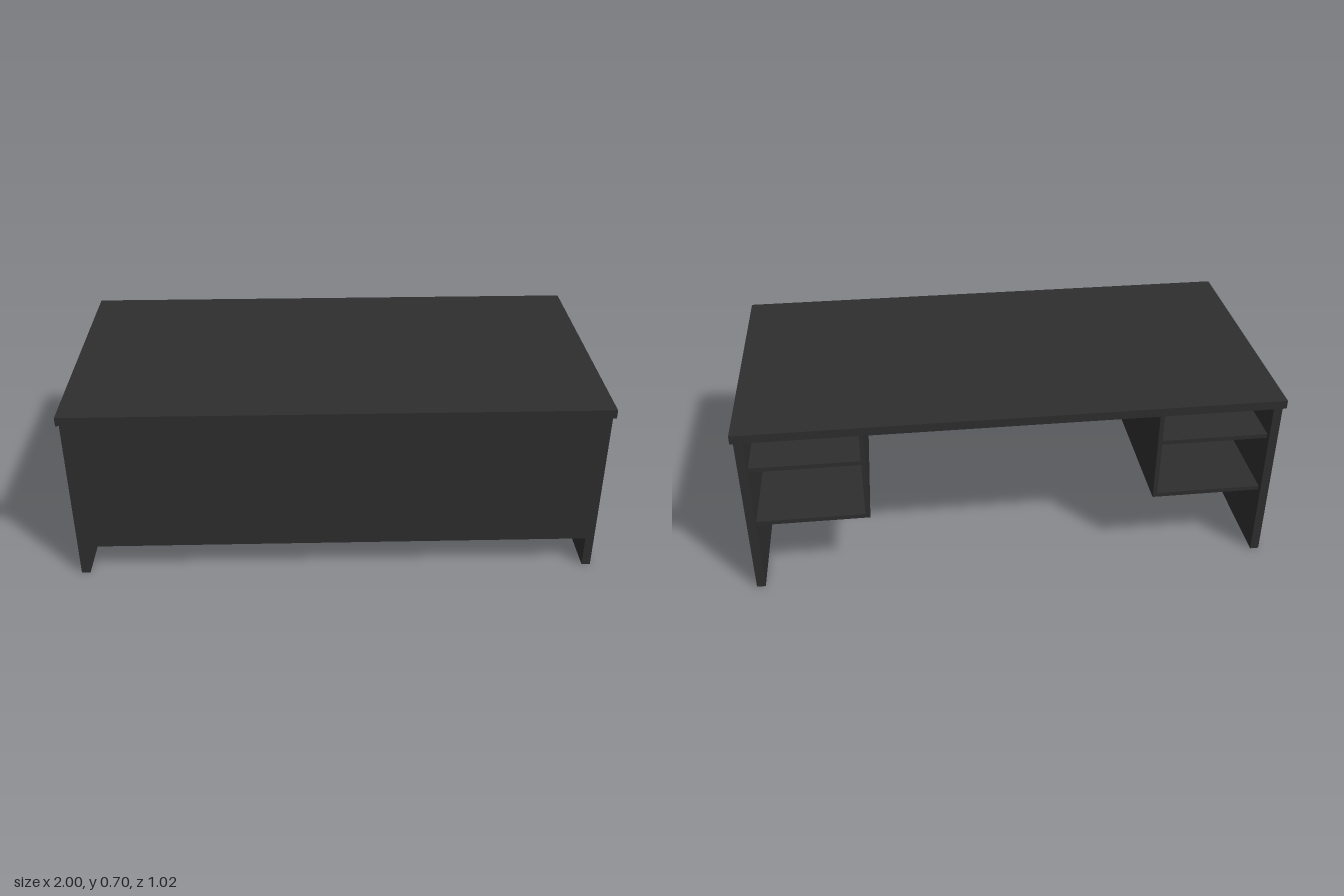
import * as THREE from 'three';

export function createModel() {
  const desk = new THREE.Group();
  desk.name = 'desk';
  const charcoal = new THREE.MeshStandardMaterial({ color: 0x2e2e2e });
  charcoal.name = 'charcoal';

  // Board given by its minimum and maximum corners
  function board(name, parent, [x0, y0, z0], [x1, y1, z1]) {
    const geometry = new THREE.BoxGeometry(x1 - x0, y1 - y0, z1 - z0);
    const mesh = new THREE.Mesh(geometry, charcoal);
    mesh.position.set((x0 + x1) / 2, (y0 + y1) / 2, (z0 + z1) / 2);
    mesh.name = name;
    parent.add(mesh);
  }

  const under = 0.667;   // underside of the desktop
  const inner = 0.957;   // inner face of the side panels
  const front = 0.464;   // inner face of the front panel
  const back = -0.477;   // open end of the shelf units
  const thin = 0.017;    // shelf board thickness

  board('desktop', desk, [-1, under, -0.508], [1, 0.7, 0.508]);
  board('frontPanel', desk, [-inner, 0.125, front], [inner, under, 0.497]);

  // Side panels and the open shelf units hung beside them
  for (const [side, s] of [['left', 1], ['right', -1]]) {
    const unit = new THREE.Group();
    unit.name = side + 'ShelfUnit';
    desk.add(unit);
    const span = (a, b) => (s > 0 ? [a, b] : [-b, -a]);
    const add = (name, parent, a, b, y0, y1, z0, z1) => {
      const [x0, x1] = span(a, b);
      board(name, parent, [x0, y0, z0], [x1, y1, z1]);
    };
    add(side + 'SidePanel', desk, inner, 0.99, 0, under, -0.497, 0.497);
    add('innerPanel', unit, 0.539, 0.539 + thin, 0.28, under, back, front);
    add('bottomShelf', unit, 0.539 + thin, inner, 0.28, 0.28 + thin, back, front);
    add('middleShelf', unit, 0.539 + thin, inner, 0.521, 0.521 + thin, back, front);
  }
  return desk;
}
